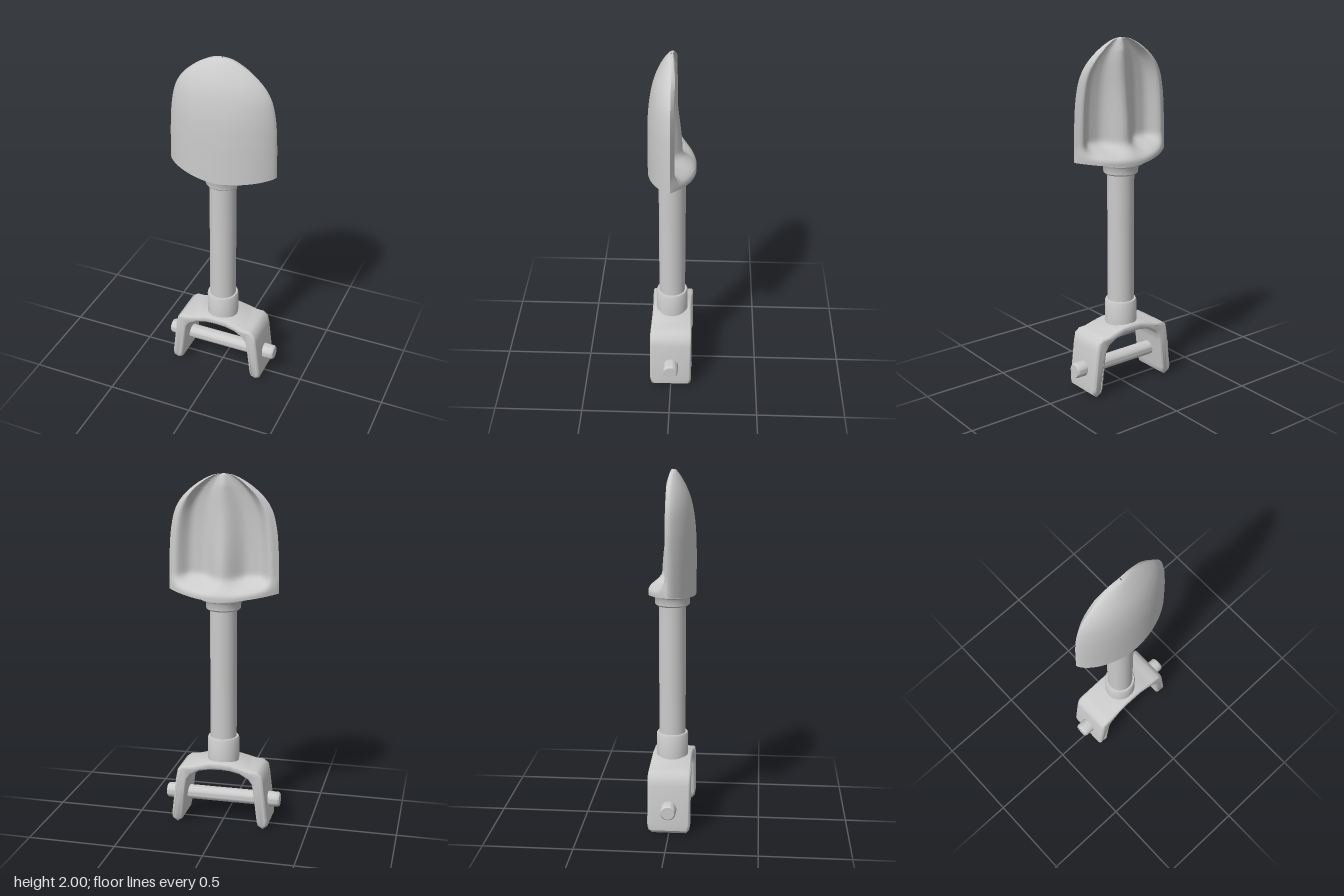
import * as THREE from 'three';
import { toCreasedNormals } from 'three/addons/utils/BufferGeometryUtils.js';

const material = new THREE.MeshStandardMaterial({ color: 0xcccccc });
const { smoothstep, lerp } = THREE.MathUtils;

function addPart(group, name, geometry) {
  const mesh = new THREE.Mesh(geometry, material);
  mesh.name = name;
  group.add(mesh);
  return mesh;
}

// Turned part from [radius, height] pairs, listed bottom to top
function turned(points, segments = 40) {
  const lathe = new THREE.LatheGeometry(points.map(([r, y]) => new THREE.Vector2(r, y)), segments);
  return toCreasedNormals(lathe, 0.6);
}

// Back face of the blade: bevelled rim, two scooped grooves, central ridge, shelf at the foot
function backDepth(u, y, bulge) {
  const a = Math.abs(u);
  const fade = Math.min(1, bulge / 0.06);
  const rim = -0.022 * fade;
  const groove = 0.035 * bulge / 0.13;
  const ridge = lerp(-0.058, -0.022, smoothstep(y, 1.4, 1.85)) * fade;
  let z;
  if (a > 0.88) z = rim * (1 - a) / 0.12;
  else if (a > 0.45) z = lerp(groove, rim, smoothstep(a, 0.62, 0.88));
  else z = lerp(ridge, groove, smoothstep(a, 0, 0.42));
  const shelf = -0.132 * Math.pow(Math.max(0, 1 - u * u), 0.9);
  return lerp(shelf, z, smoothstep(y, 1.38, 1.46));
}

// Blade: closed cross-sections stacked upwards
function bladeGeometry() {
  // half width, height, front bulge
  const outline = new THREE.CatmullRomCurve3([
    [0.31, 1.36, 0.132], [0.309, 1.45, 0.132], [0.305, 1.58, 0.131], [0.295, 1.7, 0.125],
    [0.272, 1.8, 0.11], [0.235, 1.865, 0.092], [0.18, 1.92, 0.068], [0.115, 1.965, 0.042],
    [0.055, 1.992, 0.022], [0.003, 2.0, 0.01],
  ].map((p) => new THREE.Vector3(...p)));
  const rows = 72, half = 40, ring = half * 2;
  const positions = [], index = [];
  for (let i = 0; i <= rows; i++) {
    const { x: width, y, z: bulge } = outline.getPoint(i / rows);
    for (let j = 0; j < ring; j++) {
      const front = j < half;
      const t = front ? j / half : 2 - j / half;
      const u = Math.sin((t * 2 - 1) * Math.PI / 2);
      const drop = 0.036 * (1 - Math.pow(Math.abs(u), 1.5)) * (1 - smoothstep(y, 1.36, 1.56));
      const z = front
        ? bulge * Math.pow(Math.max(0, 1 - u * u), 0.7)
        : backDepth(u, y, bulge);
      positions.push(u * width, y - drop, z);
    }
  }
  for (let i = 0; i < rows; i++) {
    for (let j = 0; j < ring; j++) {
      const a = i * ring + j, b = i * ring + (j + 1) % ring;
      index.push(a, b, b + ring, a, b + ring, a + ring);
    }
  }
  // underside
  const centre = positions.length / 3;
  positions.push(0, 1.322, 0);
  for (let j = 0; j < ring; j++) index.push(centre, (j + 1) % ring, j);
  const geometry = new THREE.BufferGeometry();
  geometry.setAttribute('position', new THREE.Float32BufferAttribute(positions, 3));
  geometry.setIndex(index);
  return toCreasedNormals(geometry, 0.75);
}

// Fork: arched bridge with two splayed legs, extruded front to back
function forkGeometry() {
  const bevel = 0.014;
  const side = [
    [0, 0.376], [0.06, 0.372], [0.12, 0.358], [0.17, 0.343], [0.21, 0.341], [0.231, 0.325],
    [0.24, 0.28], [0.266, 0.06], [0.265, 0.035], [0.25, 0.022], [0.235, 0.033], [0.231, 0.06],
    [0.209, 0.24], [0.2, 0.283], [0.177, 0.315], [0.12, 0.345], [0.06, 0.357], [0, 0.36],
  ];
  const mirrored = side.slice(1, -1).reverse().map(([x, y]) => [-x, y]);
  const shape = new THREE.Shape([...side, ...mirrored].map(([x, y]) => new THREE.Vector2(x, y)));
  const depth = 0.24 - bevel * 2;
  const geometry = new THREE.ExtrudeGeometry(shape, {
    depth, bevelEnabled: true, bevelThickness: bevel, bevelSize: bevel, bevelSegments: 4,
  });
  geometry.translate(0, 0, -depth / 2);
  // round the feet and slim the bridge slightly
  const p = geometry.attributes.position;
  for (let i = 0; i < p.count; i++) {
    const foot = 1 - smoothstep(p.getY(i), 0.005, 0.05);
    const bridge = 1 - smoothstep(Math.abs(p.getX(i)), 0.06, 0.2);
    p.setZ(i, p.getZ(i) * (1 - 0.13 * foot - 0.05 * bridge));
  }
  return toCreasedNormals(geometry, 0.8);
}

export function createModel() {
  const model = new THREE.Group();
  model.name = 'shovel';

  addPart(model, 'blade', bladeGeometry());
  addPart(model, 'bladeCollar', turned([
    [0, 1.258], [0.088, 1.258], [0.096, 1.266], [0.098, 1.3], [0.104, 1.31],
    [0.128, 1.317], [0.13, 1.33], [0, 1.345],
  ]));
  addPart(model, 'shaft', turned([[0.075, 0.45], [0.075, 1.28]]));
  addPart(model, 'socket', turned([
    [0, 0.365], [0.09, 0.365], [0.09, 0.51], [0.085, 0.52], [0.07, 0.52],
  ]));
  addPart(model, 'fork', forkGeometry());

  // Crossbar through both legs
  const bar = addPart(model, 'crossbar', turned([
    [0, -0.332], [0.036, -0.332], [0.043, -0.322], [0.044, -0.27], [0.041, -0.23],
    [0.041, 0.23], [0.044, 0.27], [0.043, 0.322], [0.036, 0.332], [0, 0.332],
  ], 32));
  bar.rotation.z = -Math.PI / 2;
  bar.position.y = 0.155;

  return model;
}
